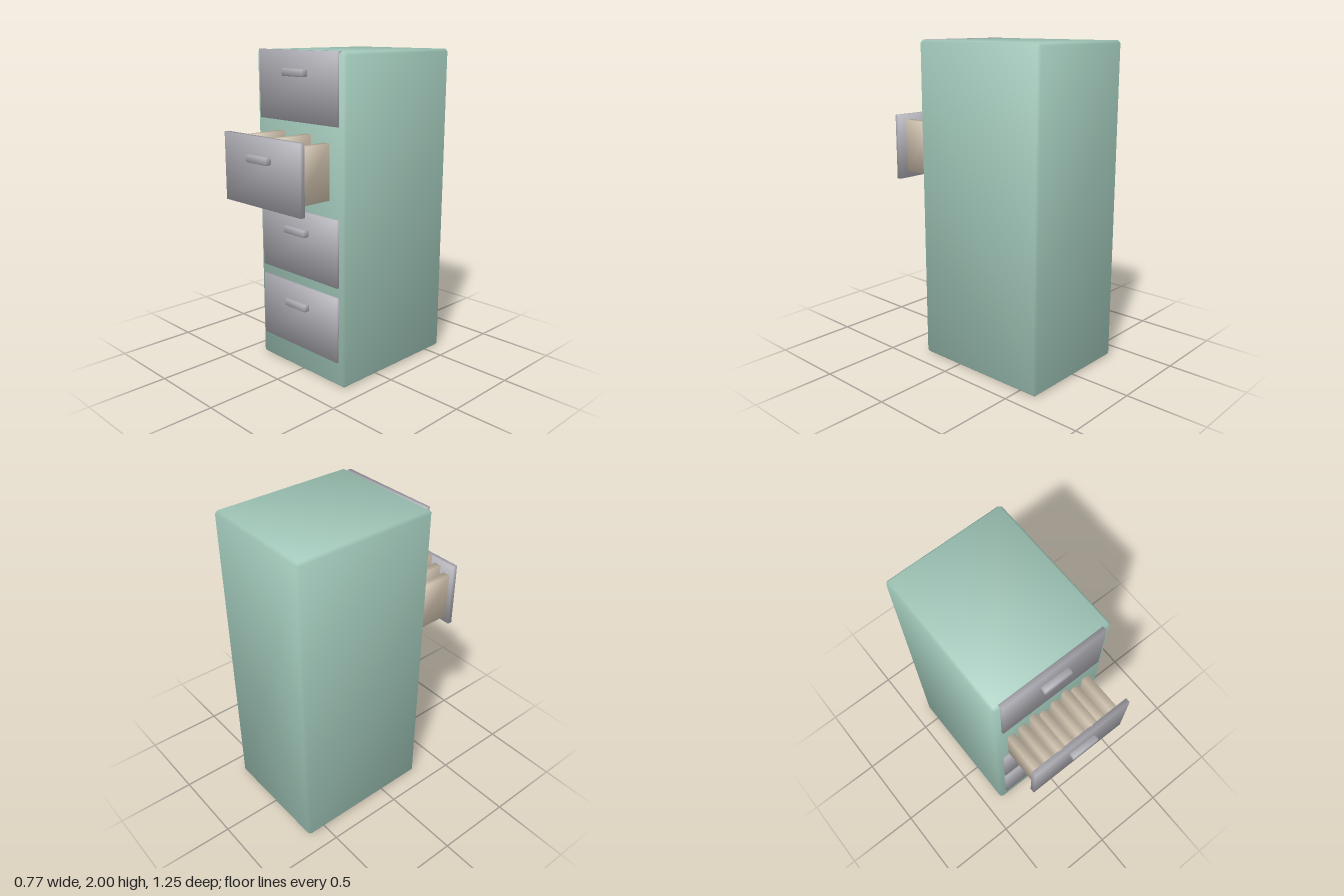
import * as THREE from 'three';
import { ConvexGeometry } from 'three/addons/geometries/ConvexGeometry.js';

// Box with optional chamfer and soft normals that lean outward at the corners.
function softBox(size, bevel = 0) {
  const half = size.map((s) => s / 2);
  let geometry;
  if (bevel > 0) {
    const points = [];
    for (const sx of [-1, 1]) for (const sy of [-1, 1]) for (const sz of [-1, 1]) {
      for (let face = 0; face < 3; face++) {
        const c = half.map((h, axis) => (axis === face ? h : h - bevel));
        points.push(new THREE.Vector3(sx * c[0], sy * c[1], sz * c[2]));
      }
    }
    geometry = new ConvexGeometry(points);
  } else {
    geometry = new THREE.BoxGeometry(...size);
  }
  const pos = geometry.attributes.position;
  const normal = geometry.attributes.normal;
  for (let i = 0; i < pos.count; i++) {
    const n = [pos.getX(i), pos.getY(i), pos.getZ(i)].map(
      (v, axis) => Math.sign(v) * (Math.abs(v) > half[axis] - bevel / 2 - 1e-5 ? 1 : 0.43)
    );
    const length = Math.hypot(...n);
    normal.setXYZ(i, n[0] / length, n[1] / length, n[2] / length);
  }
  return geometry;
}

export function createModel() {
  const green = new THREE.MeshStandardMaterial({ name: 'cabinet green', color: 0x9fc5b7 });
  const grey = new THREE.MeshStandardMaterial({ name: 'drawer grey', color: 0xa9a9b0 });
  const cream = new THREE.MeshStandardMaterial({ name: 'folder cream', color: 0xcdbfab });

  const model = new THREE.Group();
  model.name = 'filingCabinet';

  const add = (parent, name, material, size, position, bevel) => {
    const mesh = new THREE.Mesh(softBox(size, bevel), material);
    mesh.name = name;
    mesh.position.set(...position);
    parent.add(mesh);
  };

  // Cabinet body
  add(model, 'cabinetBody', green, [0.766, 2, 0.92], [0, 1, -0.165], 0.016);

  // Four drawers, the second from the top pulled out
  [0.367, 0.844, 1.321, 1.796].forEach((y, i) => {
    const open = i === 2;
    const drawer = new THREE.Group();
    drawer.name = open ? 'openDrawer' : 'closedDrawer';
    drawer.position.set(0, y, open ? 0.572 : 0.294);
    add(drawer, 'drawerFront', grey, [0.676, 0.414, 0.03], [-0.002, 0, 0]);
    add(drawer, 'handle', grey, [0.186, 0.044, 0.042], [-0.001, 0.08, 0.034], 0.006);
    model.add(drawer);
  });

  // Hanging folders, stepping up in repeating sets of three
  const folders = new THREE.Group();
  folders.name = 'folders';
  for (let i = 0; i < 8; i++) {
    const height = 0.298 + 0.035 * (i % 3);
    add(folders, 'folder', cream, [0.046, height, 0.25], [-0.288 + i * 0.077, 1.16 + height / 2, 0.435]);
  }
  model.add(folders);

  return model;
}
